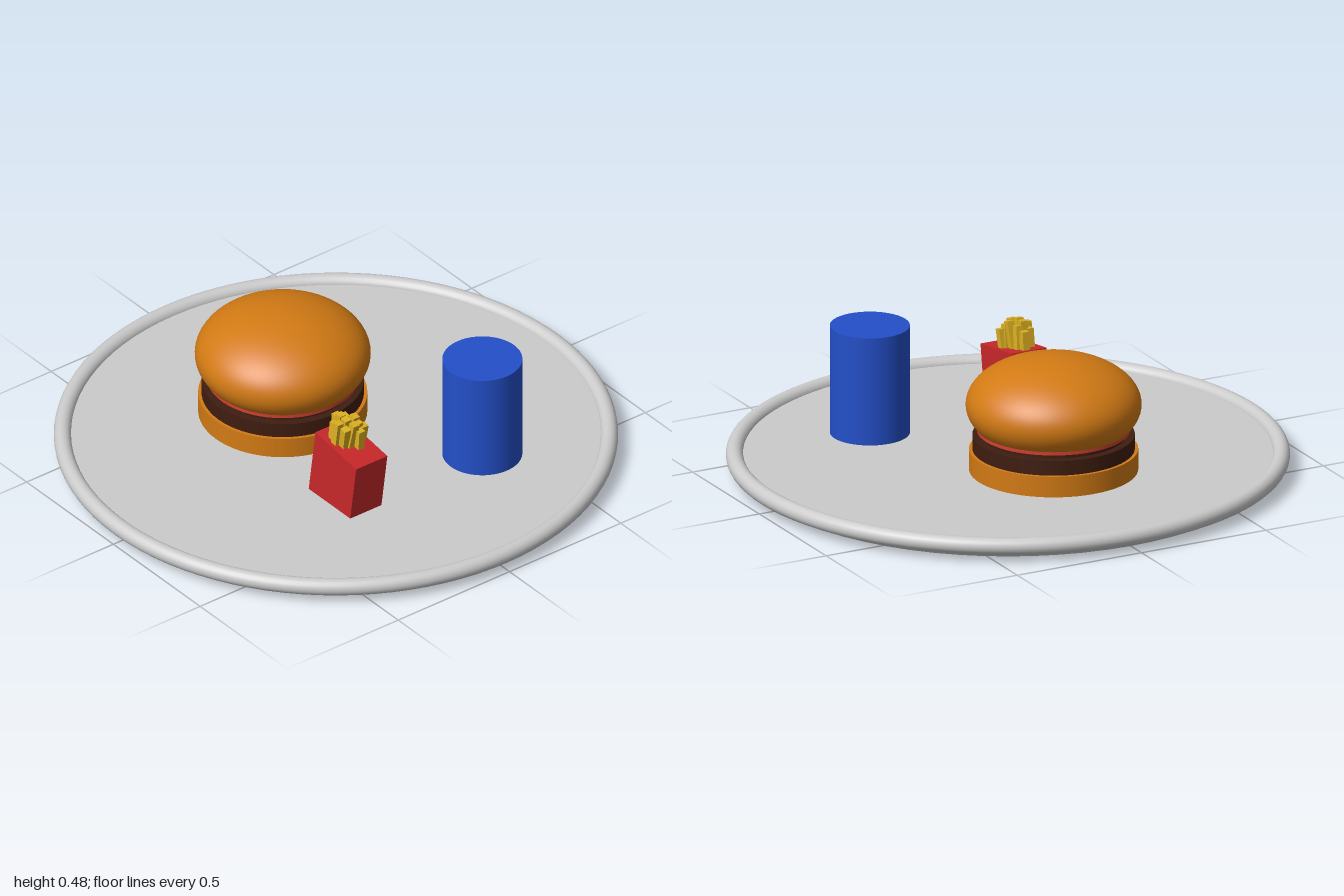
import * as THREE from 'three';

const paint = (color) => new THREE.MeshStandardMaterial({ color });
const GREY = paint(0xcccccc), BUN = paint(0xd27a14), PATTY = paint(0x3f1d10);
const RED = paint(0xc8282a), TOMATO = paint(0xd04030), FRY = paint(0xdcb022), BLUE = paint(0x234fc8);

function add(parent, name, geometry, material, x = 0, y = 0, z = 0) {
  const mesh = new THREE.Mesh(geometry, material);
  mesh.name = name;
  mesh.position.set(x, y, z);
  parent.add(mesh);
  return mesh;
}

// upright disc spanning y0..y1
function disc(parent, name, material, rTop, rBottom, y0, y1, x = 0, z = 0) {
  return add(parent, name, new THREE.CylinderGeometry(rTop, rBottom, y1 - y0, 64), material, x, (y0 + y1) / 2, z);
}

function group(parent, name, x, y, z) {
  const g = new THREE.Group();
  g.name = name;
  g.position.set(x, y, z);
  parent.add(g);
  return g;
}

export function createModel() {
  const model = new THREE.Group();
  model.name = 'mealTray';

  // round tray with rolled rim
  disc(model, 'trayPlate', GREY, 0.969, 0.92, 0, 0.0625);
  add(model, 'trayRim', new THREE.TorusGeometry(0.969, 0.031, 20, 96), GREY, 0, 0.057, 0).rotation.x = Math.PI / 2;

  // burger, stacked from the bottom up
  const burger = group(model, 'burger', -0.23, 0, 0.06);
  disc(burger, 'bottomBun', BUN, 0.3, 0.3, 0.05, 0.14);
  disc(burger, 'patty', PATTY, 0.288, 0.288, 0.14, 0.195);
  disc(burger, 'upperFilling', PATTY, 0.26, 0.26, 0.195, 0.21);
  disc(burger, 'tomatoSlice', TOMATO, 0.272, 0.272, 0.21, 0.227);
  add(burger, 'topBun', new THREE.SphereGeometry(0.312, 64, 40), BUN, 0, 0.307, 0).scale.y = 0.555;

  // drink cup
  disc(model, 'cup', BLUE, 0.142, 0.142, 0.055, 0.465, 0.42, -0.33);

  // leaning carton of fries
  const fries = group(model, 'friesCarton', 0.357, 0.169, 0.225);
  fries.rotation.z = -0.148;
  add(fries, 'carton', new THREE.BoxGeometry(0.237, 0.28, 0.14), RED);

  // fries: x, z at the carton mouth, rise above it
  const sticks = [
    [-0.093, -0.003, 0.068], [-0.066, -0.014, 0.085], [-0.036, -0.02, 0.1],
    [-0.008, -0.03, 0.085], [0.027, -0.014, 0.075], [0.003, 0.008, 0.1],
    [-0.032, 0.008, 0.105], [-0.06, 0.034, 0.07], [-0.034, 0.042, 0.09],
    [-0.006, 0.029, 0.085], [-0.002, -0.042, 0.07], [-0.056, 0.01, 0.1],
  ];
  sticks.forEach(([x, z, rise], i) => {
    const length = rise + 0.08;
    const fry = add(fries, 'fry', new THREE.BoxGeometry(0.027, length, 0.027), FRY, x, 0.14 + rise - length / 2, z);
    fry.rotation.set(0.07 * Math.sin(i * 2.3), 0, 0.07 * Math.cos(i * 1.7));
  });

  return model;
}
